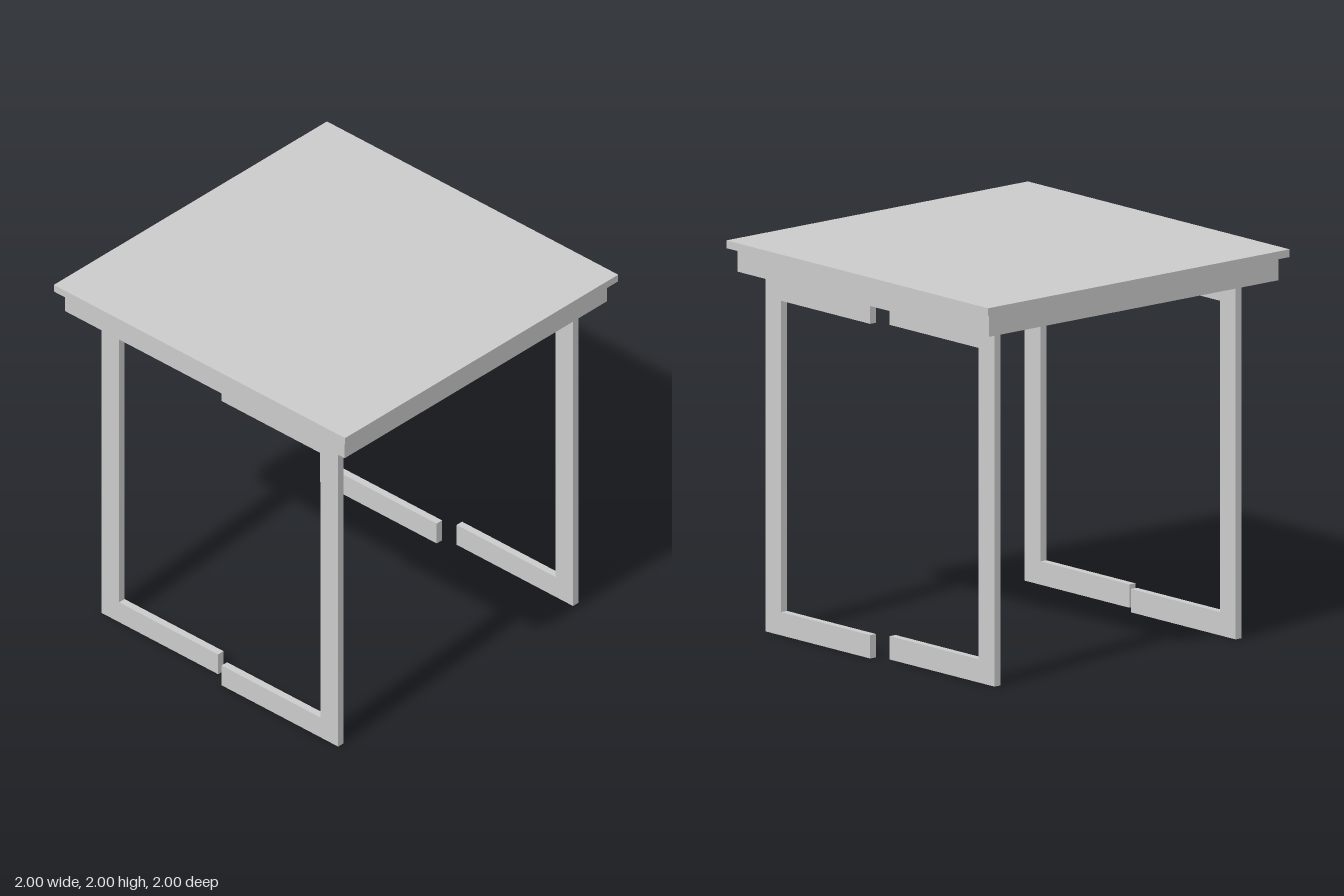
import * as THREE from 'three';

export function createModel() {
  const table = new THREE.Group();
  table.name = 'table';
  const material = new THREE.MeshStandardMaterial({ color: 0xcccccc, flatShading: true });

  const addSlab = (name, width, bottom, top) => {
    const slab = new THREE.Mesh(new THREE.BoxGeometry(width, top - bottom, width), material);
    slab.name = name;
    slab.position.y = (bottom + top) / 2;
    table.add(slab);
  };

  // Thin top over a solid, slightly inset block
  addSlab('tableTop', 2, 1.96, 2);
  addSlab('apron', 1.92, 1.84, 1.96);

  // C-shaped leg frame: a post with a foot bar and a top bar reaching to the middle
  const profile = (dir) => new THREE.Shape([
    [0.04, 0], [0.84, 0], [0.84, 1.84], [0.04, 1.84],
    [0.04, 1.72], [0.72, 1.72], [0.72, 0.12], [0.04, 0.12],
  ].map(([z, y]) => new THREE.Vector2(-z * dir, y)));

  const thickness = 0.04;
  const addLeg = (name, x, dir) => {
    const geometry = new THREE.ExtrudeGeometry(profile(dir), { depth: thickness, bevelEnabled: false });
    geometry.translate(0, 0, -thickness / 2);
    geometry.rotateY(Math.PI / 2); // shape x becomes -z, depth runs along x
    const leg = new THREE.Mesh(geometry, material);
    leg.name = name;
    leg.position.x = x;
    table.add(leg);
  };

  // Front frames sit just outside the back frames
  for (const [side, sign] of [['Left', 1], ['Right', -1]]) {
    addLeg(`front${side}Leg`, sign * 0.86, 1);
    addLeg(`back${side}Leg`, sign * 0.8, -1);
  }

  return table;
}
